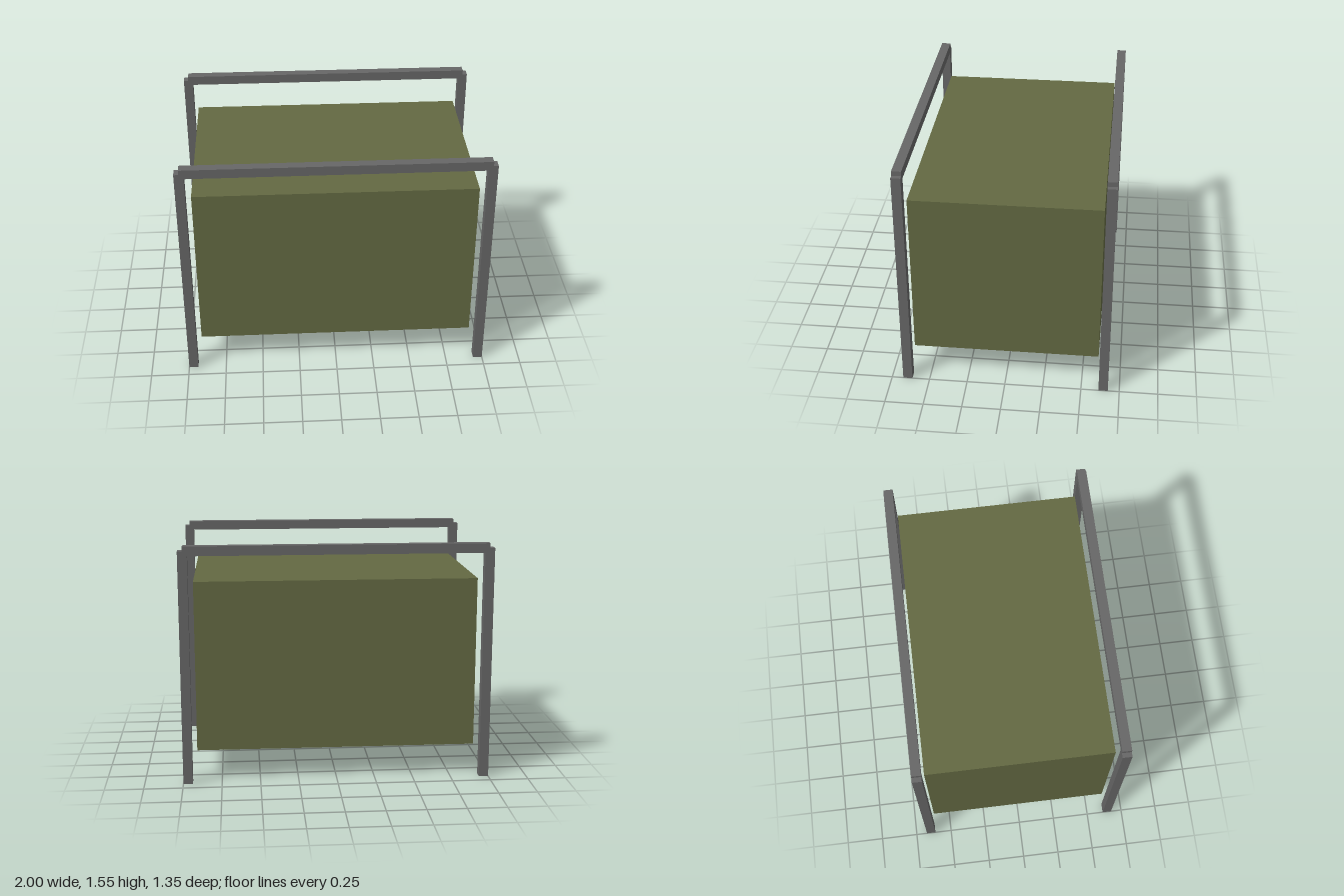
import * as THREE from 'three';

export function createModel() {
  const olive = new THREE.MeshStandardMaterial({ name: 'olive', color: 0x636942 });
  const grey = new THREE.MeshStandardMaterial({ name: 'grey', color: 0x666666 });
  const model = new THREE.Group();
  model.name = 'framedBox';

  const addBox = (parent, name, material, size, position) => {
    const mesh = new THREE.Mesh(new THREE.BoxGeometry(...size), material);
    mesh.name = name;
    mesh.position.set(...position);
    parent.add(mesh);
  };

  // Main body, raised off the ground between the two frames
  addBox(model, 'body', olive, [1.816, 1.11, 1.21], [0, 0.759, 0]);

  // Front and back frames: two posts joined by a top rail
  const bar = 0.061;
  const postHeight = 1.518;
  for (const [side, z] of [['front', 0.645], ['back', -0.645]]) {
    const frame = new THREE.Group();
    frame.name = side + 'Frame';
    frame.position.z = z;
    for (const [name, s] of [['leftPost', 1], ['rightPost', -1]]) {
      addBox(frame, name, grey, [bar, postHeight, bar], [s * (1 - bar / 2), postHeight / 2, 0]);
    }
    // The rail is centred on the post tops and ends at the post centres
    addBox(frame, 'topRail', grey, [2 - bar, bar, bar], [0, postHeight, 0]);
    model.add(frame);
  }
  return model;
}
